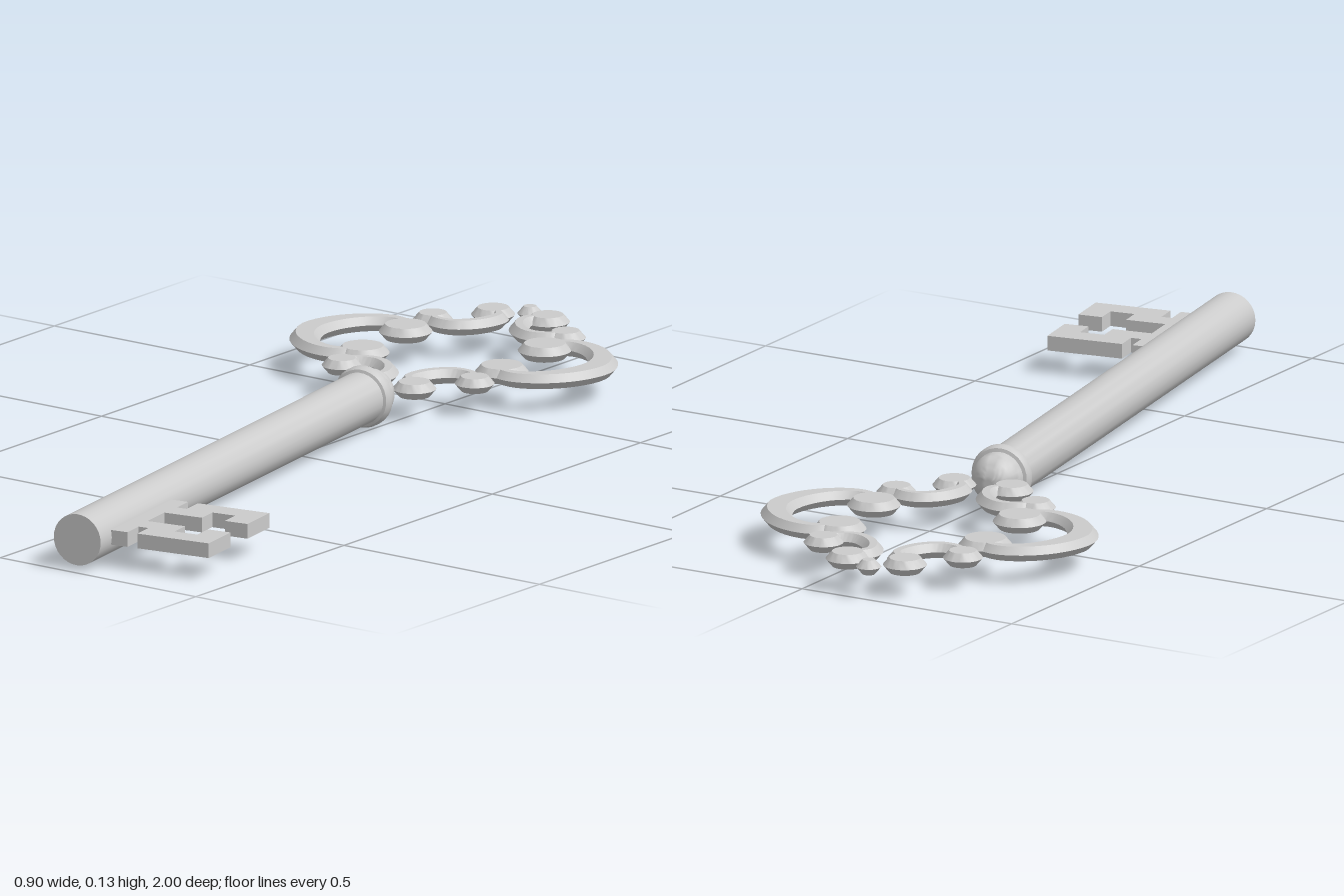
import * as THREE from 'three';
import { toCreasedNormals } from 'three/addons/utils/BufferGeometryUtils.js';

const MID = 0.064;    // height of the key's centre plane
const HALF = 0.0155;  // half thickness of bow and bit
const BEVEL = 0.013;
const BOW_Z = -0.658; // centre of the bow along the shaft

const material = new THREE.MeshStandardMaterial({ color: 0xcccccc });

function add(parent, name, geometry) {
  const mesh = new THREE.Mesh(geometry, material);
  mesh.name = name;
  parent.add(mesh);
  return mesh;
}

// Bevelled round end of a scroll
function disc(r) {
  const pts = [[0, -HALF], [r - BEVEL, -HALF], [r, 0], [r - BEVEL, HALF], [0, HALF]];
  return toCreasedNormals(new THREE.LatheGeometry(pts.map(p => new THREE.Vector2(...p)), 28), 0.5);
}

// Curved band with a six-sided section; points are [x, z, halfWidth]
function band(points) {
  const curve = new THREE.CatmullRomCurve3(points.map(p => new THREE.Vector3(p[0], p[2], p[1])));
  const steps = 40, pos = [], index = [];
  for (let i = 0; i <= steps; i++) {
    const p = curve.getPoint(i / steps), t = curve.getTangent(i / steps);
    const len = Math.hypot(t.x, t.z), nx = t.z / len, nz = -t.x / len;
    const w = p.y, v = Math.max(w - BEVEL, 0.006);
    const section = [[w, 0], [v, HALF], [-v, HALF], [-w, 0], [-v, -HALF], [v, -HALF]];
    for (const [s, y] of section) pos.push(p.x + nx * s, y, p.z + nz * s);
  }
  for (let i = 0; i < steps; i++) {
    for (let k = 0; k < 6; k++) {
      const a = i * 6 + k, b = i * 6 + (k + 1) % 6;
      index.push(a, b, a + 6, b, b + 6, a + 6);
    }
  }
  const g = new THREE.BufferGeometry();
  g.setAttribute('position', new THREE.Float32BufferAttribute(pos, 3));
  g.setIndex(index);
  return toCreasedNormals(g, 0.5);
}

// A band with a disc at each end
function scroll(parent, name, points, r1, r2) {
  const group = new THREE.Group();
  group.name = name;
  add(group, 'scrollBand', band(points));
  [[points[0], r1], [points[points.length - 1], r2]].forEach(([p, r]) =>
    add(group, 'scrollEnd', disc(r)).position.set(p[0], 0, p[1]));
  parent.add(group);
}

function makeBow() {
  const bow = new THREE.Group();
  bow.name = 'bow';
  bow.position.set(0, MID, BOW_Z);

  const half = [[0.160, -0.094, 0.018], [0.176, -0.123, 0.02], [0.212, -0.134, 0.022],
    [0.262, -0.116, 0.026], [0.307, -0.068, 0.031]];
  const large = [...half, [0.328, 0, 0.034], ...half.map(([x, z, w]) => [x, -z, w]).reverse()];
  const small = [[0.153, 0.200, 0.017], [0.132, 0.172, 0.018], [0.090, 0.165, 0.02],
    [0.047, 0.198, 0.021], [0.030, 0.255, 0.02], [0.063, 0.293, 0.018]];

  for (const sx of [1, -1]) {
    const side = sx > 0 ? 'left' : 'right';
    scroll(bow, side + 'LargeScroll', large.map(([x, z, w]) => [x * sx, z, w]), 0.055, 0.055);
    for (const sz of [1, -1]) {
      scroll(bow, side + (sz > 0 ? 'Lower' : 'Upper') + 'Scroll',
        small.map(([x, z, w]) => [x * sx, z * sz, w]), 0.041, 0.045);
    }
  }
  add(bow, 'bowTip', disc(0.026)).position.z = -0.335;
  return bow;
}

function makeShaft(parent) {
  // Domed head and collar, then the long round stem
  const pts = [];
  for (let i = 0; i <= 10; i++) {
    const a = (i / 10) * Math.PI / 2;
    pts.push([0.053 * Math.sin(a), -0.285 - 0.053 * Math.cos(a)]);
  }
  pts.push([0.053, -0.277], [0.060, -0.275], [0.064, -0.268], [0.064, -0.255], [0.060, -0.247],
    [0.054, -0.245], [0.054, 0.995], [0, 0.995]);
  const g = new THREE.LatheGeometry(pts.map(p => new THREE.Vector2(...p)), 32);
  g.rotateX(Math.PI / 2);
  add(parent, 'shaft', toCreasedNormals(g, 0.6)).position.y = MID;
}

function makeBit(parent) {
  // Half outline of the notched bit, mirrored along the shaft
  const c = 0.813;
  const half = [[0.03, 0.133], [0.09, 0.133], [0.09, 0.084], [0.113, 0.084], [0.113, 0.133],
    [0.277, 0.133], [0.277, 0.037], [0.225, 0.037], [0.225, 0.083], [0.172, 0.083],
    [0.172, 0.037], [0.086, 0.037]];
  const outline = [...half.map(([x, d]) => [x, c - d]),
    ...half.map(([x, d]) => [x, c + d]).reverse()];
  const shape = new THREE.Shape(outline.map(p => new THREE.Vector2(...p)));
  const g = new THREE.ExtrudeGeometry(shape, { depth: 2 * HALF, bevelEnabled: false });
  g.rotateX(Math.PI / 2);
  add(parent, 'bit', g).position.y = MID + HALF;
}

export function createModel() {
  const model = new THREE.Group();
  model.name = 'key';
  // The key lies flat, turned slightly off the z axis
  const key = new THREE.Group();
  key.name = 'keyBody';
  key.rotation.y = 0.166;
  key.position.x = 0.018;
  makeShaft(key);
  makeBit(key);
  key.add(makeBow());
  model.add(key);
  return model;
}
